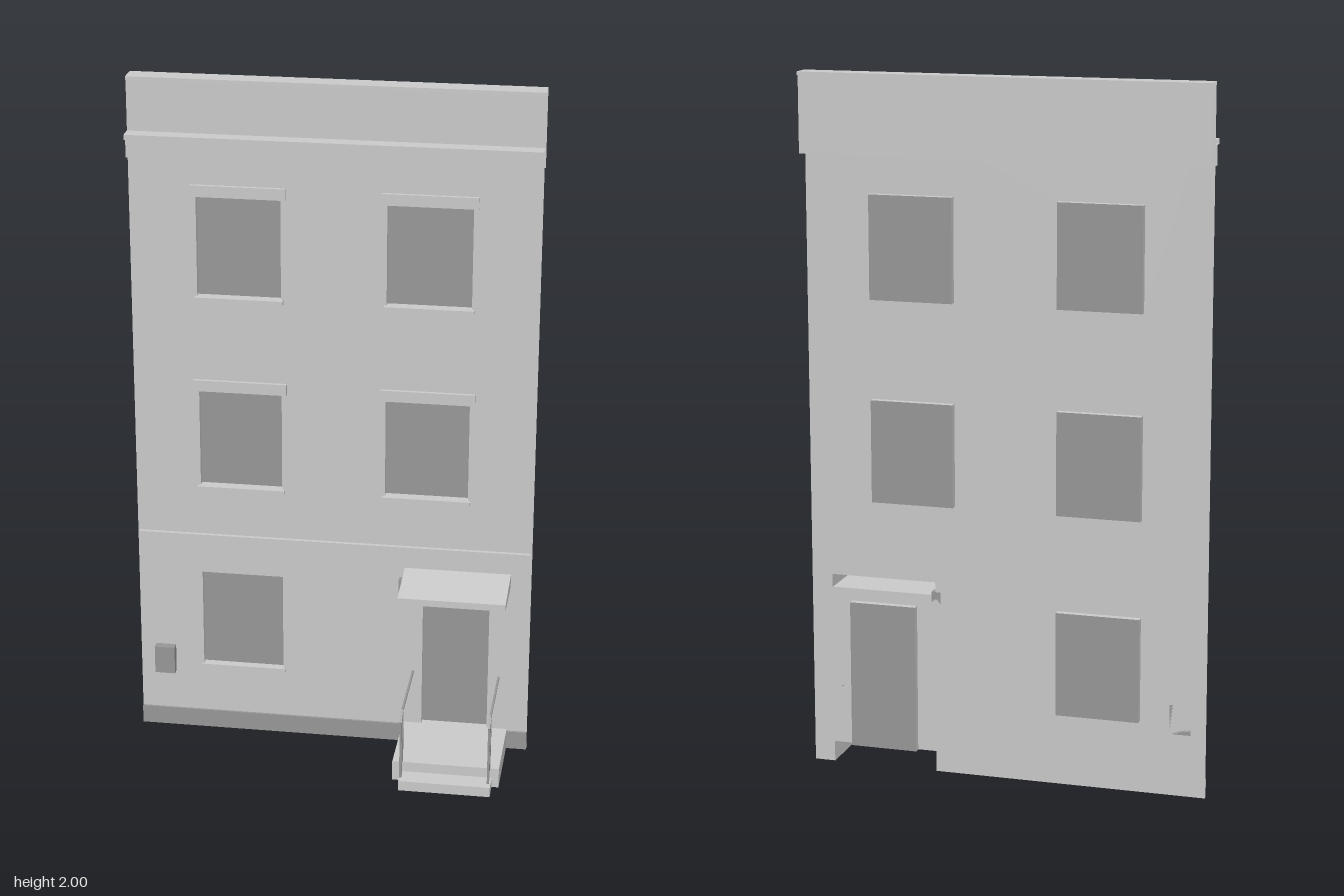
import * as THREE from 'three';

export function createModel() {
  const model = new THREE.Group();
  model.name = 'townhouseFacade';
  const light = new THREE.MeshStandardMaterial({ color: 0xcccccc, side: THREE.DoubleSide });
  light.name = 'lightGrey';
  const dark = new THREE.MeshStandardMaterial({ color: 0x999999, side: THREE.DoubleSide });
  dark.name = 'darkGrey';

  const W = 0.58, WALL = -0.125, GLASS = -0.145;

  const add = (name, geo, mat) => {
    const mesh = new THREE.Mesh(geo, mat);
    mesh.name = name;
    model.add(mesh);
    return mesh;
  };
  const box = (name, mat, x0, x1, y0, y1, z0, z1) =>
    add(name, new THREE.BoxGeometry(x1 - x0, y1 - y0, z1 - z0), mat)
      .position.set((x0 + x1) / 2, (y0 + y1) / 2, (z0 + z1) / 2);

  // Open-ended strip: a [z, y] profile swept along x
  const strip = (name, mat, x0, x1, profile) => {
    const pos = [];
    for (let i = 0; i < profile.length - 1; i++) {
      const [za, ya] = profile[i], [zb, yb] = profile[i + 1];
      pos.push(x0, ya, za, x0, yb, zb, x1, yb, zb, x0, ya, za, x1, yb, zb, x1, ya, za);
    }
    // reversed so that bottom-to-top profiles face the front
    const geo = new THREE.BufferGeometry();
    geo.setAttribute('position', new THREE.Float32BufferAttribute(pos, 3));
    const p = geo.attributes.position.array;
    for (let i = 0; i < p.length; i += 9) {
      for (let k = 0; k < 3; k++) [p[i + 3 + k], p[i + 6 + k]] = [p[i + 6 + k], p[i + 3 + k]];
    }
    geo.computeVertexNormals();
    add(name, geo, mat);
  };

  const rectPoints = (x0, x1, y0, y1) =>
    [[x0, y0], [x0, y1], [x1, y1], [x1, y0]].map(([x, y]) => new THREE.Vector2(x, y));

  // Recessed pane with its reveal behind the wall
  const recess = (name, x0, x1, y0, y1) => {
    const cx = (x0 + x1) / 2, cy = (y0 + y1) / 2, cz = (WALL + GLASS) / 2;
    add(name + 'Pane', new THREE.PlaneGeometry(x1 - x0, y1 - y0), dark).position.set(cx, cy, GLASS);
    const depth = WALL - GLASS;
    for (const x of [x0, x1]) {
      const side = add(name + 'Jamb', new THREE.PlaneGeometry(depth, y1 - y0), light);
      side.position.set(x, cy, cz);
      side.rotation.y = x === x0 ? Math.PI / 2 : -Math.PI / 2;
    }
    for (const y of [y0, y1]) {
      const edge = add(name + 'Reveal', new THREE.PlaneGeometry(x1 - x0, depth), light);
      edge.position.set(cx, y, cz);
      edge.rotation.x = y === y0 ? -Math.PI / 2 : Math.PI / 2;
    }
  };

  // Wall sheet, notched for the door and the landing
  const wall = new THREE.Shape([
    [-W, 0], [0.21, 0], [0.21, 0.06], [0.265, 0.06], [0.265, 0.49], [0.46, 0.49],
    [0.46, 0.06], [0.52, 0.06], [0.52, 0], [W, 0], [W, 1.99], [-W, 1.99],
  ].map(([x, y]) => new THREE.Vector2(x, y)));

  // Windows with sills and lintels
  const windows = [
    [-0.27, 1.37, 1.665], [0.27, 1.37, 1.665],
    [-0.27, 0.79, 1.085], [0.27, 0.79, 1.085],
    [-0.27, 0.21, 0.51],
  ];
  for (const [cx, y0, y1] of windows) {
    wall.holes.push(new THREE.Path(rectPoints(cx - 0.12, cx + 0.12, y0, y1)));
    recess('window', cx - 0.12, cx + 0.12, y0, y1);
    const ground = y0 < 0.5;
    box('sill', light, cx - 0.127, cx + 0.127, y0 - 0.012, y0, WALL, ground ? -0.118 : -0.11);
    if (!ground) box('lintel', light, cx - 0.135, cx + 0.135, y1, y1 + 0.033, WALL, -0.114);
  }
  wall.holes.push(new THREE.Path(rectPoints(0.21, 0.52, 0.526, 0.564)));
  add('wall', new THREE.ShapeGeometry(wall), light).position.z = WALL;
  recess('door', 0.265, 0.46, 0.06, 0.49);

  // Horizontal bands, parapet and plinth
  strip('stringCourse', light, -0.575, 0.575,
    [[WALL, 0.61], [-0.113, 0.61], [-0.113, 0.635], [WALL, 0.635]]);
  strip('cornice', light, -W, W,
    [[WALL, 1.775], [-0.1, 1.775], [-0.1, 1.83], [-0.08, 1.83], [-0.08, 1.845], [WALL, 1.845]]);
  strip('parapet', light, -W, W,
    [[WALL, 1.99], [-0.12, 1.99], [-0.12, 2], [-0.18, 2], [-0.18, 1.99], [-0.173, 1.99], [-0.173, 1.775]]);
  for (const [x0, x1] of [[-W, 0.21], [0.52, W]]) {
    strip('plinth', dark, x0, x1, [[-0.118, 0], [-0.118, 0.055], [WALL, 0.055]]);
  }

  // Sloping door canopy, open towards the wall
  const prism = (name, x0, x1, section, loop) => {
    strip(name, light, x0, x1, loop);
    const geo = new THREE.ShapeGeometry(new THREE.Shape(section.map(([z, y]) => new THREE.Vector2(-z, y))));
    for (const x of [x0, x1]) {
      const end = add(name + 'Side', geo, light);
      end.rotation.y = Math.PI / 2;
      end.position.x = x;
    }
  };
  const canopy = [[WALL, 0.525], [0.04, 0.525], [0.04, 0.545], [WALL, 0.565]];
  prism('canopy', 0.21, 0.52, canopy, canopy);

  // Landing and step, hollow underneath
  const slab = (name, x0, x1, z0, z1, h) =>
    prism(name, x0, x1, [[z0, 0], [z1, 0], [z1, h], [z0, h]], [[z1, 0], [z1, h], [z0, h]]);
  slab('landing', 0.21, 0.52, WALL, 0.12, 0.06);
  slab('step', 0.235, 0.5, 0.12, 0.18, 0.03);

  // Handrails
  const bar = (a, b) => {
    const from = new THREE.Vector3(...a), to = new THREE.Vector3(...b);
    const mesh = add('railing', new THREE.BoxGeometry(0.006, 0.006, from.distanceTo(to)), dark);
    mesh.position.copy(from).add(to).multiplyScalar(0.5);
    mesh.lookAt(to);
  };
  for (const x of [0.238, 0.492]) {
    bar([x, 0.23, WALL], [x, 0.23, 0.117]);
    bar([x, 0.23, 0.117], [x, 0.205, 0.155]);
    bar([x, 0.06, 0.117], [x, 0.23, 0.117]);
    bar([x, 0.03, 0.138], [x, 0.215, 0.138]);
    bar([x, 0.03, 0.155], [x, 0.205, 0.155]);
  }

  // Wall fittings
  box('meterBox', dark, -0.535, -0.475, 0.18, 0.265, WALL, -0.1);
  box('lamp', dark, 0.195, 0.222, 0.48, 0.535, WALL, -0.1);

  return model;
}
